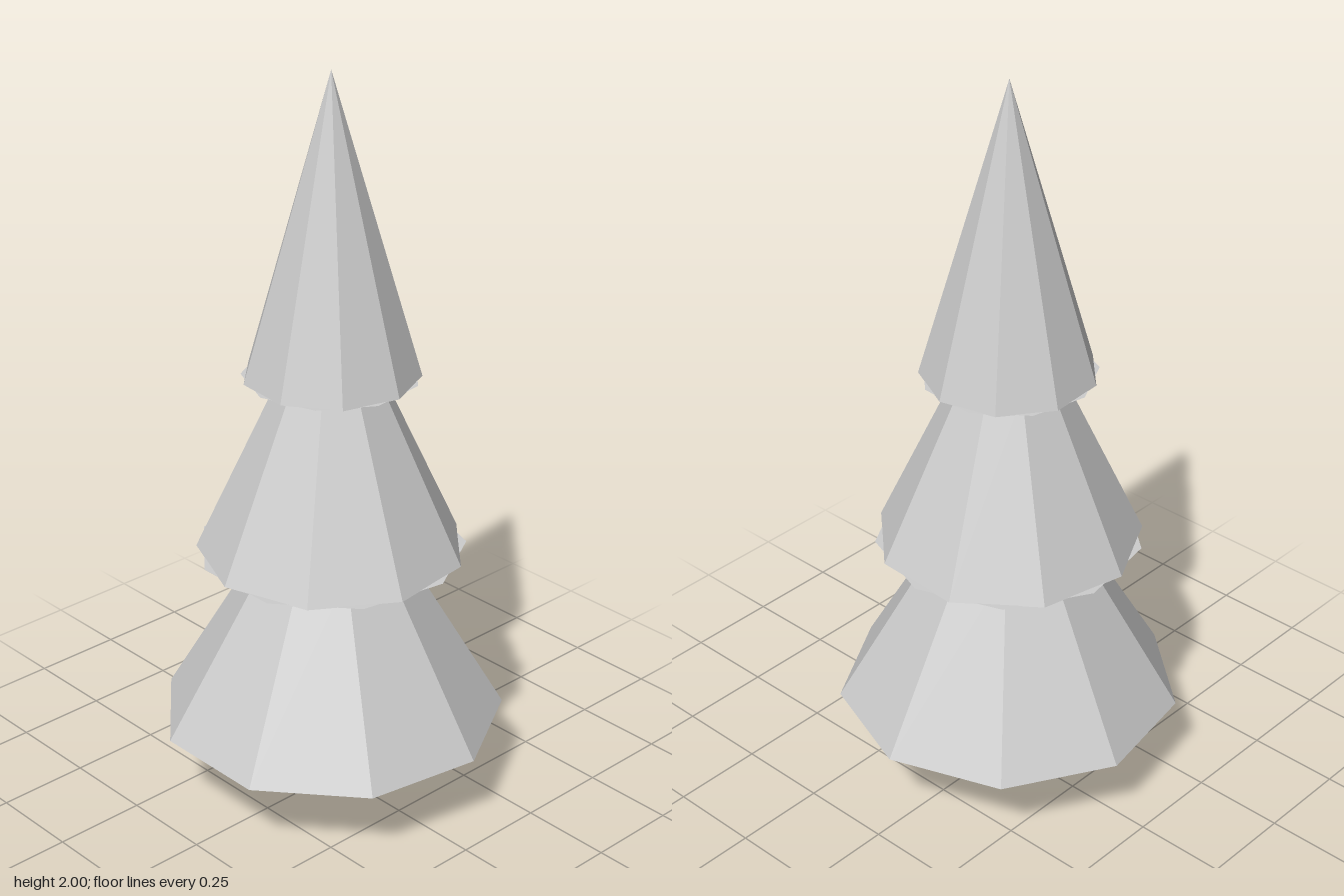
import * as THREE from 'three';

const SIDES = 9;
const AXIS_X = -0.014; // the odd-sided crown sits slightly off the box centre

export function createModel() {
  const tree = new THREE.Group();
  tree.name = 'pineTree';
  const paleGrey = new THREE.MeshStandardMaterial({ color: 0xcccccc, flatShading: true, side: THREE.DoubleSide });

  function add(name, geometry, y) {
    const mesh = new THREE.Mesh(geometry, paleGrey);
    mesh.name = name;
    mesh.position.set(AXIS_X, y, 0);
    tree.add(mesh);
  }

  // Hexagonal trunk with a slight taper
  add('trunk', new THREE.CylinderGeometry(0.033, 0.036, 0.23, 6, 1, false, Math.PI / 2), 0.115);

  // Foliage tiers, each turned differently; a flange closes the top of the lower two
  const tiers = [
    { name: 'lowerFoliage', y0: 0.225, y1: 0.715, rBottom: 0.464, rTop: 0.178, flange: 0.355, turn: 0 },
    { name: 'middleFoliage', y0: 0.715, y1: 1.205, rBottom: 0.355, rTop: 0.129, flange: 0.231, turn: 22.8 },
    { name: 'topFoliage', y0: 1.205, y1: 2, rBottom: 0.231, rTop: 0, flange: 0, turn: 6 },
  ];
  for (const t of tiers) {
    const start = Math.PI / 2 - THREE.MathUtils.degToRad(t.turn);
    const height = t.y1 - t.y0;
    add(t.name, new THREE.CylinderGeometry(t.rTop, t.rBottom, height, SIDES, 1, false, start), t.y0 + height / 2);
    if (t.flange) {
      // Flat ring under the next tier
      const ring = new THREE.RingGeometry(t.rTop, t.flange, SIDES, 1, start - Math.PI / 2);
      ring.rotateX(-Math.PI / 2);
      add(t.name + 'Flange', ring, t.y1 + 0.001);
    }
  }
  return tree;
}
